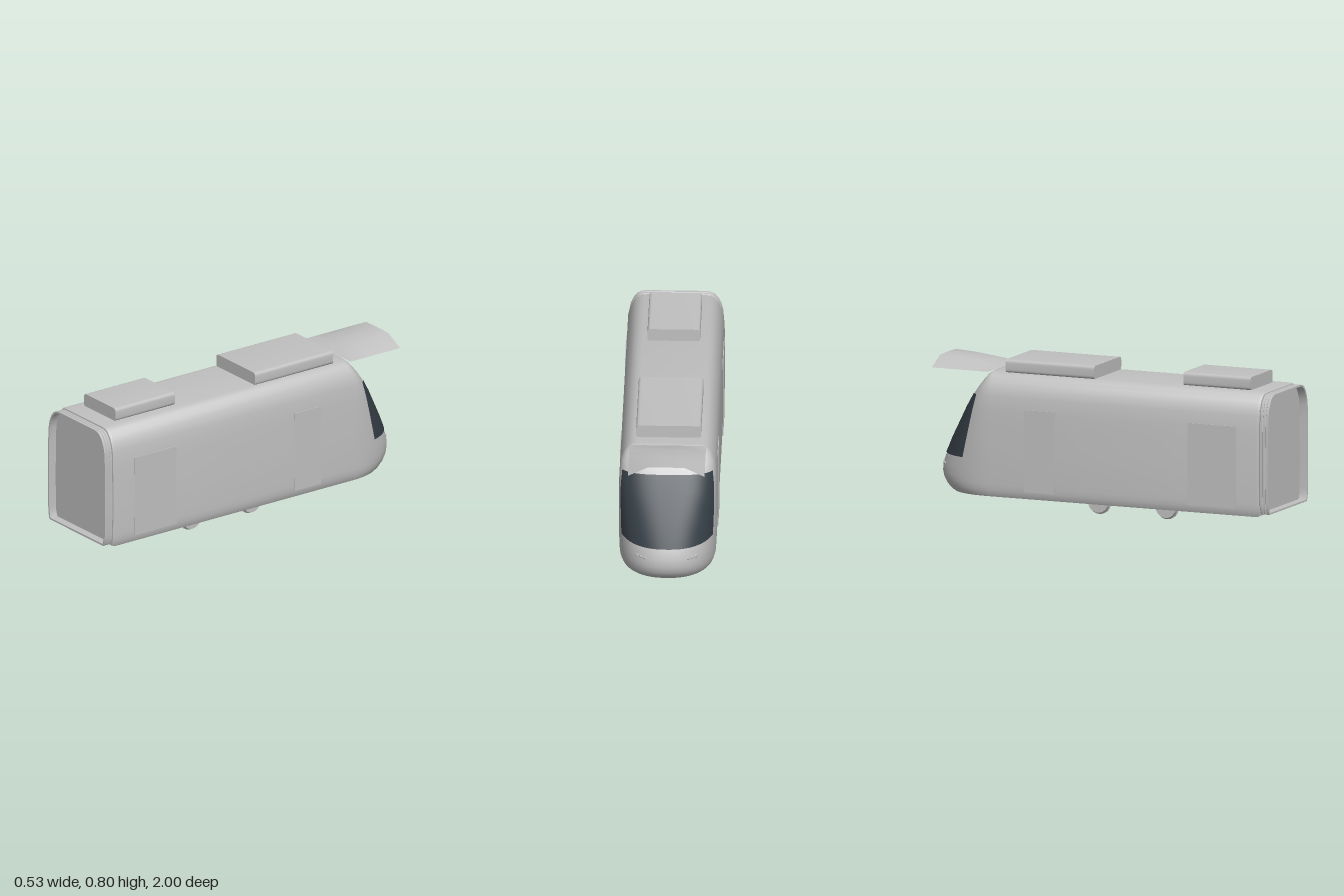
import * as THREE from 'three';
import { toCreasedNormals } from 'three/addons/utils/BufferGeometryUtils.js';

// Shell profile: height, half width, z of the nose at that height
const PROFILE = [
  [0.065, 0.245, -0.93], [0.075, 0.25, -0.948], [0.1, 0.257, -0.974], [0.13, 0.259, -0.992],
  [0.165, 0.26, -1], [0.21, 0.261, -0.995], [0.265, 0.262, -0.972], [0.35, 0.262, -0.93],
  [0.45, 0.261, -0.872], [0.53, 0.26, -0.826], [0.612, 0.256, -0.774], [0.65, 0.248, -0.746],
  [0.69, 0.231, -0.712], [0.715, 0.21, -0.689], [0.727, 0.187, -0.675], [0.73, 0.165, -0.67],
];
const NOSE_START = -0.64;

// Surface through rows of points, with sharp edges kept
function grid(rows, crease = 0.55) {
  const n = rows[0].length, index = [];
  for (let r = 0; r < rows.length - 1; r++) {
    for (let c = 0; c < n - 1; c++) {
      const a = r * n + c, d = a + n;
      index.push(a, a + 1, d, a + 1, d + 1, d);
    }
  }
  const g = new THREE.BufferGeometry();
  g.setAttribute('position', new THREE.Float32BufferAttribute(rows.flat(2), 3));
  g.setIndex(index);
  g.scale(100, 100, 100);
  const out = toCreasedNormals(g, crease);
  out.scale(0.01, 0.01, 0.01);
  return out;
}

// Point on the rounded nose; t runs from the left side (0) round to the right (PI)
const exponent = (y) => 2.3 + 0.8 * THREE.MathUtils.smoothstep(y, 0.2, 0.65);
function nosePoint([y, w, zf], t, off = 0) {
  const p = 2 / exponent(y), c = Math.cos(t);
  const x = (w + off) * Math.sign(c) * Math.abs(c) ** p;
  const z = NOSE_START - (NOSE_START - zf + off) * Math.max(0, Math.sin(t)) ** p;
  return [x, y, z];
}

function noseGeometry() {
  const seg = 56;
  const rows = PROFILE.map((l) => Array.from({ length: seg + 1 }, (_, i) => nosePoint(l, Math.PI * i / seg)));
  const flat = (row) => row.map(([x, y]) => [x, y, NOSE_START]);
  return grid([flat(rows[0]), ...rows, flat(rows[rows.length - 1])]);
}

function windscreenGeometry() {
  const seg = 40;
  const rows = PROFILE.filter(([y]) => y > 0.26 && y < 0.62).map((l) => {
    const edge = THREE.MathUtils.mapLinear(l[0], 0.265, 0.612, -0.8, -0.72);
    const s = (NOSE_START - edge) / (NOSE_START - l[2]);
    const t0 = Math.asin(s ** (exponent(l[0]) / 2));
    return Array.from({ length: seg + 1 }, (_, i) => nosePoint(l, t0 + (Math.PI - 2 * t0) * i / seg, 0.004));
  });
  return grid(rows);
}

// Closed body outline squeezed by an inset on the sides, bottom and top
function outline(z, side, bottom, top) {
  const half = PROFILE.map(([y, w]) => [
    w * (1 - side / 0.262),
    THREE.MathUtils.mapLinear(y, 0.065, 0.73, 0.065 + bottom, 0.73 - top), z]);
  const other = half.map(([x, y]) => [-x, y, z]).reverse();
  return [...half, ...other, half[0]];
}

// Rounded bar profile extruded along z
function roofBox(x0, x1, z0, z1) {
  const y0 = 0.727, y1 = 0.8, r = 0.02;
  const s = new THREE.Shape();
  s.moveTo(x0 + r, y0);
  s.lineTo(x1 - r, y0);
  s.quadraticCurveTo(x1, y0, x1, y0 + r);
  s.lineTo(x1, y1 - r);
  s.quadraticCurveTo(x1, y1, x1 - r, y1);
  s.lineTo(x0 + r, y1);
  s.quadraticCurveTo(x0, y1, x0, y1 - r);
  s.lineTo(x0, y0 + r);
  s.quadraticCurveTo(x0, y0, x0 + r, y0);
  const g = new THREE.ExtrudeGeometry(s, { depth: z1 - z0, bevelEnabled: false, curveSegments: 5 });
  g.translate(0, 0, z0);
  g.scale(100, 100, 100);
  const out = toCreasedNormals(g, 0.6);
  return out.scale(0.01, 0.01, 0.01);
}

export function createModel() {
  const group = new THREE.Group();
  const grey = new THREE.MeshStandardMaterial({ color: 0xc0c0c0, side: THREE.DoubleSide });
  grey.name = 'body grey';
  const dark = new THREE.MeshStandardMaterial({ color: 0x363f47 });
  dark.name = 'dark glass';
  const add = (name, geometry, material = grey) => {
    const mesh = new THREE.Mesh(geometry, material);
    mesh.name = name;
    group.add(mesh);
    return mesh;
  };

  // Long body shell and rounded cab
  add('bodyShell', grid([
    outline(NOSE_START, 0, 0, 0), outline(0.93, 0, 0, 0),
    outline(0.945, 0.006, 0.006, 0.004), outline(0.947, 0.02, 0.024, 0.016),
  ]));
  add('cabNose', noseGeometry());
  add('windscreen', windscreenGeometry(), dark);

  // Ribbed gangway collar with a recessed end panel
  const ribs = [[0.945, 0.014]];
  for (let i = 0; i < 3; i++) ribs.push([0.952 + i * 0.017, 0.006], [0.963 + i * 0.017, 0.006], [0.966 + i * 0.017, 0.01]);
  ribs.pop();
  ribs.push([1, 0.006], [1, 0.015], [0.955, 0.015]);
  const collar = ribs.map(([z, s]) => outline(z, s, s + 0.01, s + 0.001));
  add('gangwayCollar', grid(collar));
  const rim = collar[collar.length - 1];
  add('endPanel', grid([rim, rim.map(() => [0, 0.4, 0.955])]));

  // Roof equipment
  add('frontRoofUnit', roofBox(-0.142, 0.14, 0.45, 0.845));
  add('rearRoofUnit', roofBox(-0.175, 0.172, -0.58, -0.06));

  // Arched sheet standing out over the windscreen
  const arch = [[0.205, 0], [0.1, 0.96], [0, 1], [-0.1, 0.96], [-0.205, 0]];
  const rise = [[-0.67, 0], [-0.72, 0.019], [-0.78, 0.036], [-0.88, 0.048], [-1, 0.055]];
  add('cabVisor', grid(rise.map(([z, h]) => arch.map(([x, k]) => [x, 0.731 + h * k, z])).reverse()));

  // Door leaves and headlamps on both sides
  for (const side of [1, -1]) {
    const label = side > 0 ? 'left' : 'right';
    for (const [name, z0, z1] of [['FrontDoor', 0.53, 0.81], ['RearDoor', -0.43, -0.255]]) {
      const door = add(label + name, new THREE.BoxGeometry(0.006, 0.445, z1 - z0));
      door.position.set(side * 0.2602, 0.3275, (z0 + z1) / 2);
    }
    for (let i = 0; i < 3; i++) {
      const t = 0.98 + i * 0.09;
      const [x, y, z] = nosePoint(PROFILE[5], side > 0 ? t : Math.PI - t);
      const lamp = add(label + 'Headlamp', new THREE.SphereGeometry(0.009, 12, 8));
      lamp.scale.set(1, 1, 0.4);
      lamp.position.set(x, y, z);
      lamp.rotation.y = side * -0.5;
    }
  }

  // Bogie plate and flanged wheels
  const plate = add('bogiePlate', new THREE.BoxGeometry(0.31, 0.012, 0.395));
  plate.position.set(0, 0.066, 0.1625);
  const wheelProfile = [[0, -0.013], [0.062, -0.013], [0.068, -0.01], [0.068, -0.006], [0.063, -0.003], [0.059, 0.013], [0, 0.013]]
    .map(([r, y]) => new THREE.Vector2(r, y));
  const wheelGeometry = toCreasedNormals(new THREE.LatheGeometry(wheelProfile, 32).scale(100, 100, 100), 0.5).scale(0.01, 0.01, 0.01);
  for (const z of [0.3625, -0.035]) {
    for (const side of [1, -1]) {
      const wheel = add('wheel', wheelGeometry);
      wheel.rotation.z = -side * Math.PI / 2;
      wheel.position.set(side * 0.167, 0.068, z);
    }
  }
  return group;
}
